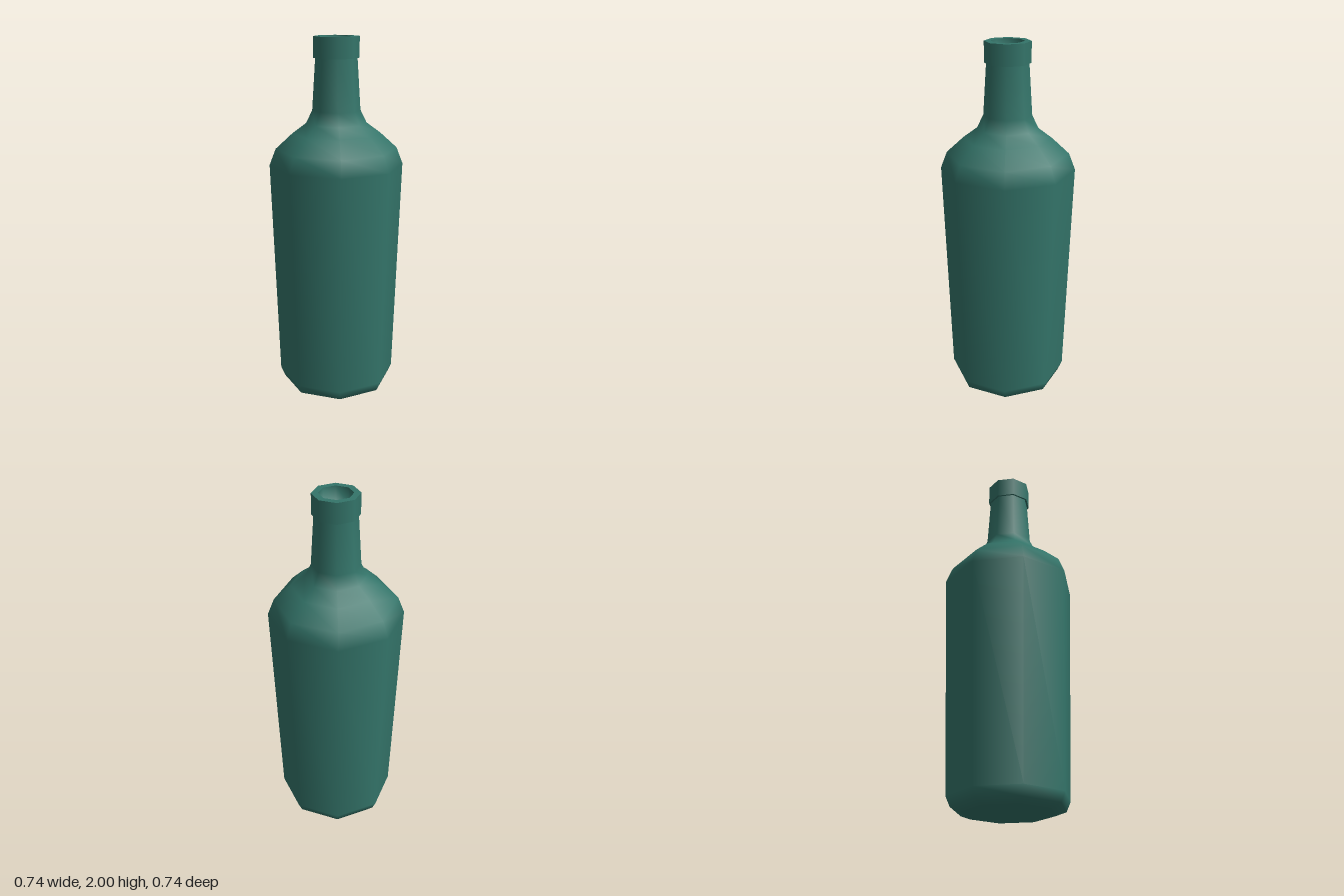
import * as THREE from 'three';

const SIDES = 8;
const glass = new THREE.MeshStandardMaterial({ color: 0x34756a });

// Eight-sided turned surface; smooth within one profile, sharp between profiles.
function turned(name, profile) {
  const points = profile.map(([r, y]) => new THREE.Vector2(r, y));
  const mesh = new THREE.Mesh(new THREE.LatheGeometry(points, SIDES), glass);
  mesh.name = name;
  return mesh;
}

export function createModel() {
  const bottle = new THREE.Group();
  bottle.name = 'bottle';

  // Base, tapered body, shoulder and neck in one smooth surface
  bottle.add(turned('body', [
    [0, 0], [0.245, 0.003], [0.305, 0.026], [0.329, 0.08],
    [0.368, 1.31], [0.333, 1.40], [0.24, 1.485], [0.165, 1.54],
    [0.131, 1.61], [0.113, 1.89],
  ]));

  // Collar around the mouth
  const collar = new THREE.Group();
  collar.name = 'collar';
  collar.add(
    turned('collarUnderside', [[0.11, 1.887], [0.124, 1.887]]),
    turned('collarSide', [[0.124, 1.887], [0.124, 2]]),
    turned('rim', [[0.124, 2], [0.089, 2]]),
    turned('mouth', [[0.089, 2], [0.087, 1.92], [0, 1.92]]),
  );
  bottle.add(collar);

  return bottle;
}
